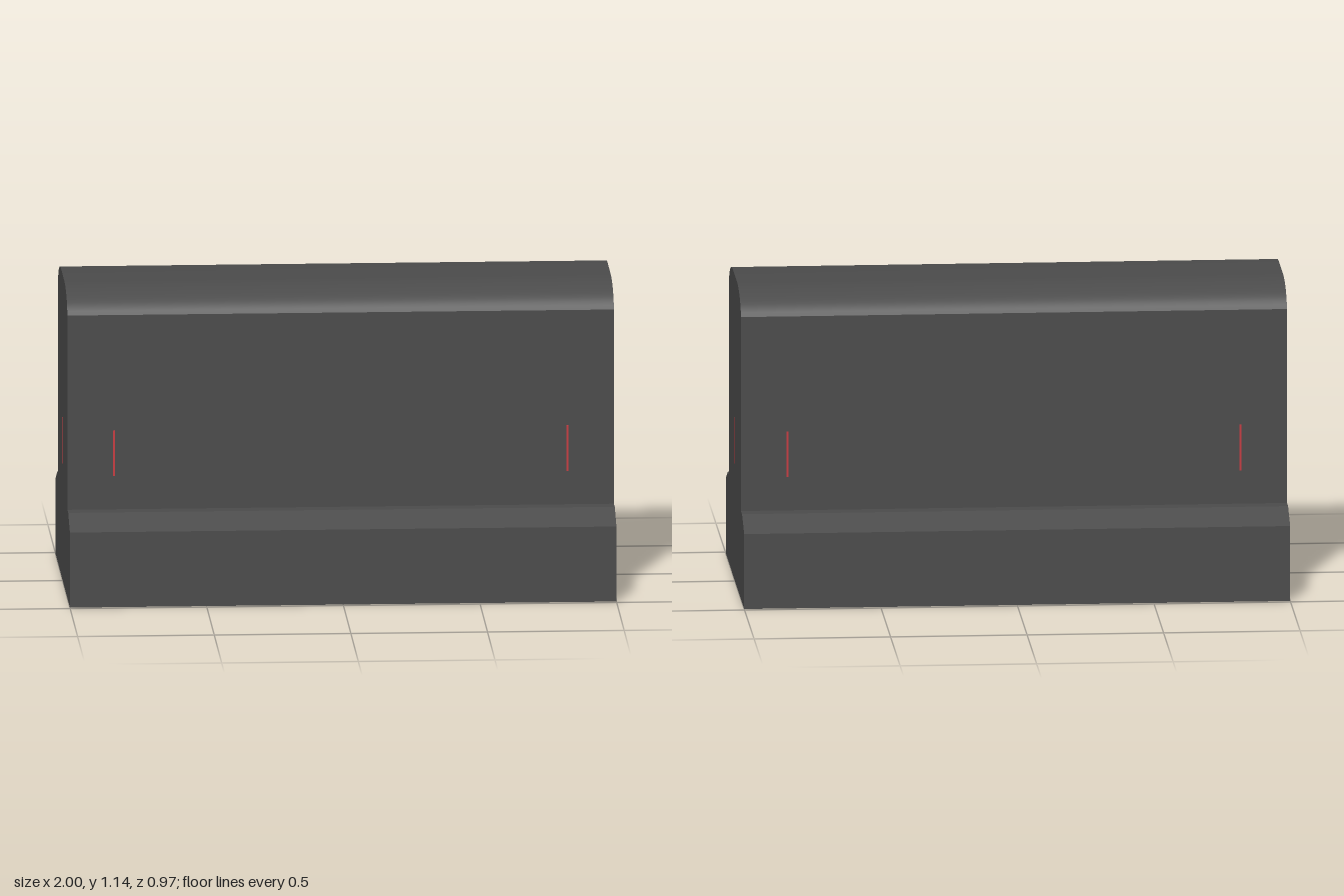
import * as THREE from 'three';
import { toCreasedNormals } from 'three/addons/utils/BufferGeometryUtils.js';

const LENGTH = 2;

// Extrude a z-y cross-section along x, centred on x = 0
function extrudeAlongX(shape) {
  const geometry = new THREE.ExtrudeGeometry(shape, { depth: LENGTH, bevelEnabled: false, curveSegments: 10 });
  geometry.translate(0, 0, -LENGTH / 2);
  geometry.rotateY(-Math.PI / 2);
  return toCreasedNormals(geometry, 0.4);
}

export function createModel() {
  const model = new THREE.Group();
  model.name = 'roadBarrier';

  const concrete = new THREE.MeshStandardMaterial({ color: 0x4b4b4b });
  concrete.name = 'darkGrey';
  const endGrey = concrete.clone();
  endGrey.side = THREE.DoubleSide;
  const red = new THREE.MeshStandardMaterial({ color: 0xc83c42 });
  red.name = 'red';

  const add = (name, geometry, material, x = 0, y = 0, z = 0) => {
    const mesh = new THREE.Mesh(geometry, material);
    mesh.name = name;
    mesh.position.set(x, y, z);
    model.add(mesh);
    return mesh;
  };

  // Upright wall with softly rounded top shoulders
  const wall = new THREE.Shape();
  wall.moveTo(-0.315, 0.33);
  wall.lineTo(0.315, 0.33);
  wall.lineTo(0.315, 1.055);
  wall.bezierCurveTo(0.295, 1.105, 0.22, 1.137, 0.12, 1.141);
  wall.lineTo(-0.12, 1.141);
  wall.bezierCurveTo(-0.22, 1.137, -0.295, 1.105, -0.315, 1.055);
  add('wall', extrudeAlongX(wall), concrete);

  // Wide foot with sloped shoulders and a hollow underside
  const foot = new THREE.Shape([
    [-0.483, 0], [-0.32, 0], [-0.32, 0.31], [0.32, 0.31], [0.32, 0], [0.483, 0],
    [0.483, 0.28], [0.37, 0.33], [-0.37, 0.33], [-0.483, 0.28],
  ].map(([z, y]) => new THREE.Vector2(z, y)));
  add('foot', extrudeAlongX(foot), concrete);

  // Thin panels closing the hollow, and a red mark on each end
  for (const side of [-1, 1]) {
    const panel = add('endPanel', new THREE.PlaneGeometry(0.64, 0.31), endGrey, side, 0.155, 0);
    panel.rotation.y = side * Math.PI / 2;
    add('endMark', new THREE.BoxGeometry(0.004, 0.17, 0.022), red, side * 0.999, 0.525, 0);
  }

  // Narrow red marks near the ends of both long faces
  for (const x of [-0.83, 0.83]) {
    for (const z of [-0.315, 0.315]) {
      add('sideMark', new THREE.BoxGeometry(0.007, 0.17, 0.004), red, x, 0.54, z);
    }
  }
  return model;
}
